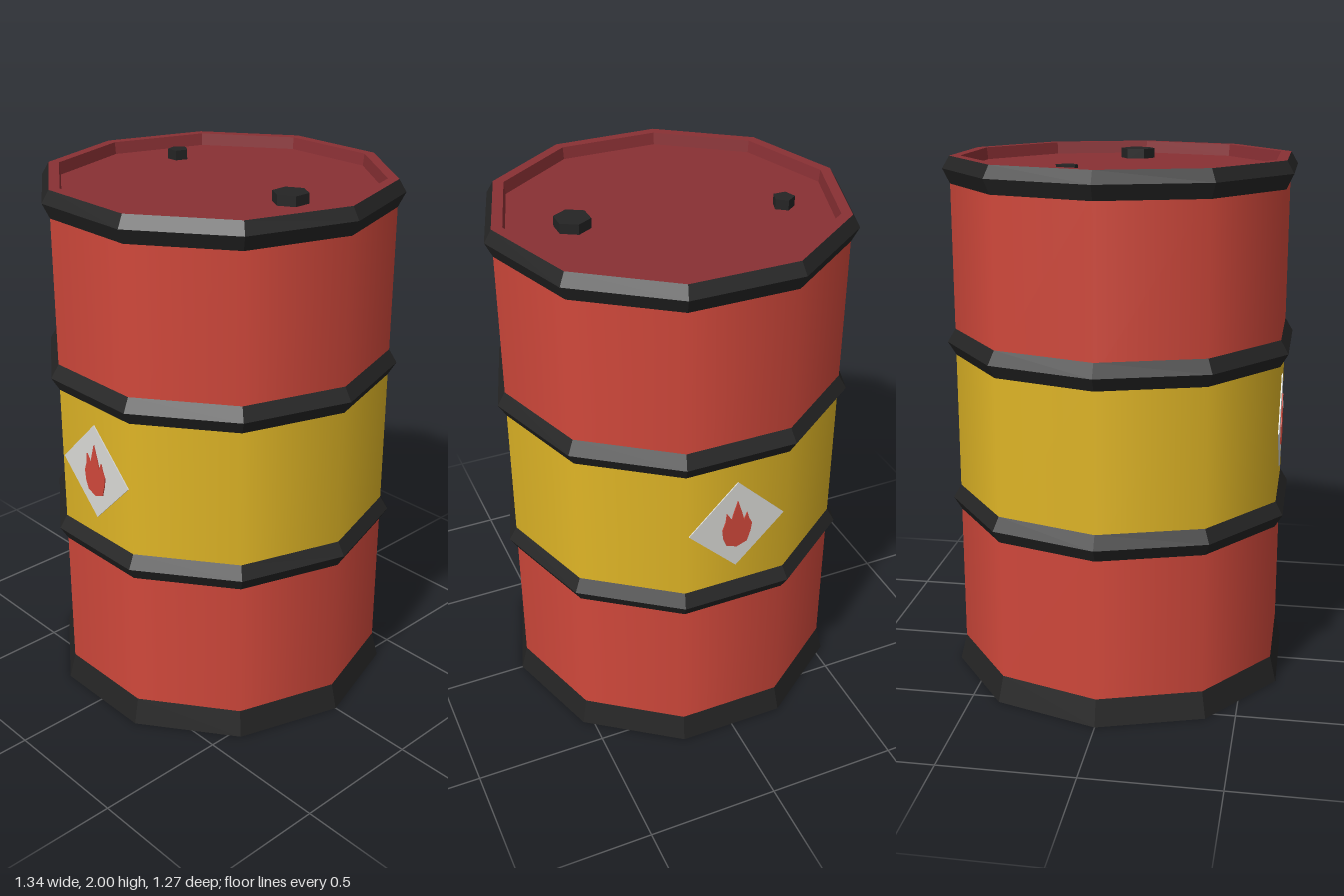
import * as THREE from 'three';

const SIDES = 10;
const START = Math.PI / 10; // puts corners on the x axis and flat panels at front and back
const R = 0.64;

const material = (name, color) => {
  const m = new THREE.MeshStandardMaterial({ color });
  m.name = name;
  return m;
};

// Faceted ring turned from a profile of [radius, y] points
function turned(points) {
  const profile = points.map(([r, y]) => new THREE.Vector2(r, y));
  const g = new THREE.LatheGeometry(profile, SIDES, START).toNonIndexed();
  g.computeVertexNormals();
  return g;
}

function plate(points, depth) {
  const shape = new THREE.Shape(points.map(([x, y]) => new THREE.Vector2(x, y)));
  return new THREE.ExtrudeGeometry(shape, { depth, bevelEnabled: false });
}

export function createModel() {
  const model = new THREE.Group();
  model.name = 'barrel';
  const red = material('barrel red', 0xd0483b);
  const yellow = material('band yellow', 0xdfb526);
  const black = material('hoop black', 0x242424);
  const lidRed = material('lid dark red', 0x893034);
  const white = material('sign white', 0xd9d9d5);

  const add = (name, geometry, mat, parent = model) => {
    const mesh = new THREE.Mesh(geometry, mat);
    mesh.name = name;
    parent.add(mesh);
    return mesh;
  };

  // Smooth wall sections
  const walls = [
    ['lowerWall', 0.1, 0.69, red],
    ['middleWall', 0.69, 1.31, yellow],
    ['upperWall', 1.31, 1.92, red],
  ];
  for (const [name, y0, y1, mat] of walls) {
    const g = new THREE.CylinderGeometry(R, R, y1 - y0, SIDES, 1, true, START);
    add(name, g.translate(0, (y0 + y1) / 2, 0), mat);
  }

  // Black hoops and rims
  add('baseRim', turned([[0.665, 0], [R, 0.1]]), black);
  add('lowerHoop', turned([[R, 0.64], [0.67, 0.69], [R, 0.74]]), black);
  add('upperHoop', turned([[R, 1.26], [0.67, 1.31], [R, 1.36]]), black);
  add('topRim', turned([[R, 1.9], [0.667, 1.955], [R, 2]]), black);

  // Bottom and recessed lid
  add('bottom', turned([[0, 0], [0.665, 0]]), red);
  add('lid', turned([[R, 2], [0.6, 2], [0.595, 1.955], [0, 1.955]]), lidRed);

  // Filler caps
  const cap = (name, r, sides, start, x, z) => {
    const g = new THREE.CylinderGeometry(r, r, 0.04, sides, 1, false, start).toNonIndexed();
    g.computeVertexNormals();
    add(name, g, black).position.set(x, 1.972, z);
  };
  cap('largeCap', 0.066, 6, 0, 0.355, 0);
  cap('smallCap', 0.04, 5, Math.PI, -0.38, -0.135);

  // Diamond flame sign on the front and back panels
  const diamond = plate([[0, -0.186], [0.186, 0], [0, 0.186], [-0.186, 0]], 0.005);
  const flame = plate([
    [0, -0.097], [0.04, -0.082], [0.053, -0.04], [0.058, -0.005], [0.046, 0.02], [0.038, 0.048],
    [0.026, 0.018], [0.018, 0.05], [0, 0.108], [-0.016, 0.055], [-0.022, 0.03],
    [-0.042, 0.063], [-0.046, 0.025], [-0.058, -0.01], [-0.053, -0.05], [-0.04, -0.082],
  ], 0.004);
  for (const [name, turn] of [['frontSign', 0], ['backSign', Math.PI]]) {
    const sign = new THREE.Group();
    sign.name = name;
    add('signPlate', diamond, white, sign).position.set(0, 1, 0.608);
    add('flame', flame, red, sign).position.set(0, 1, 0.613);
    sign.rotation.y = turn;
    model.add(sign);
  }
  return model;
}
